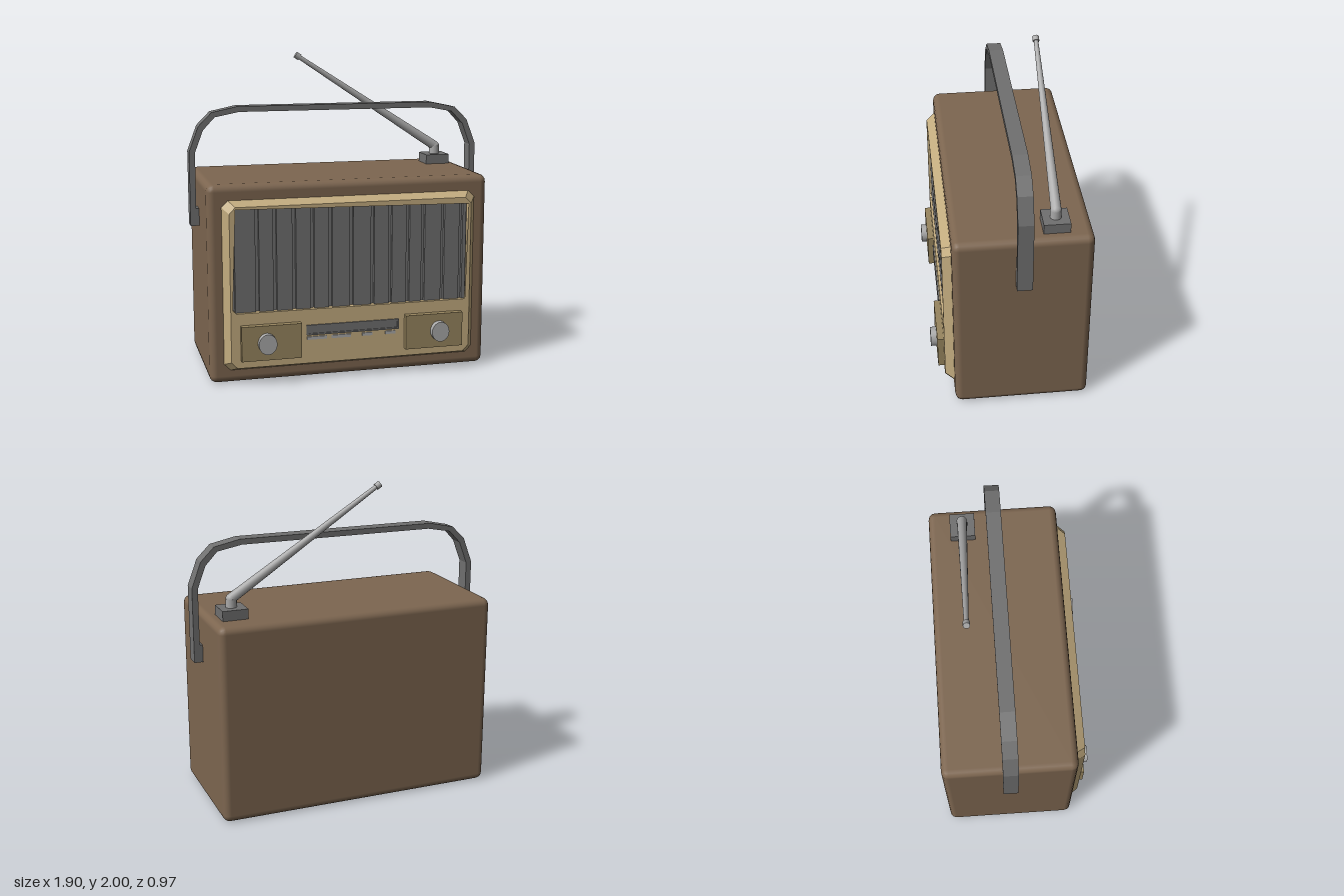
import * as THREE from 'three';
import { RoundedBoxGeometry } from 'three/addons/geometries/RoundedBoxGeometry.js';

export function createModel() {
  const radio = new THREE.Group();
  radio.name = 'portableRadio';
  const material = (name, color) => {
    const m = new THREE.MeshStandardMaterial({ color });
    m.name = name;
    return m;
  };
  const brown = material('brown case', 0x7d6650);
  const cream = material('cream panel', 0xc4ad80);
  const tan = material('tan plate', 0x98865f);
  const grey = material('dark grey', 0x707070);
  const silver = material('silver', 0xaaaaaa);

  const add = (name, geometry, mat, x = 0, y = 0, z = 0) => {
    const mesh = new THREE.Mesh(geometry, mat);
    mesh.name = name;
    mesh.position.set(x, y, z);
    radio.add(mesh);
    return mesh;
  };
  // Box given by its limits on each axis
  const box = (name, mat, x0, x1, y0, y1, z0, z1) =>
    add(name, new THREE.BoxGeometry(x1 - x0, y1 - y0, z1 - z0), mat,
      (x0 + x1) / 2, (y0 + y1) / 2, (z0 + z1) / 2);
  // Rectangle with cut corners
  const cutRect = (Kind, x, y0, y1, c) => new Kind([
    [-x + c, y0], [x - c, y0], [x, y0 + c], [x, y1 - c],
    [x - c, y1], [-x + c, y1], [-x, y1 - c], [-x, y0 + c],
  ].map(([px, py]) => new THREE.Vector2(px, py)));

  // Case with softened edges
  add('case', new RoundedBoxGeometry(1.79, 1.245, 0.84, 2, 0.045), brown, 0, 0.6225, -0.06);

  // Front panel: outer rim slopes inward, opening for the grille
  const outline = cutRect(THREE.Shape, 0.815, 0.08, 1.155, 0.04);
  outline.holes.push(cutRect(THREE.Path, 0.755, 0.455, 1.1, 0.02));
  const panel = new THREE.ExtrudeGeometry(outline, { depth: 0.065, bevelEnabled: false });
  const p = panel.attributes.position;
  for (let i = 0; i < p.count; i++) {
    const x = p.getX(i), y = p.getY(i);
    const outer = Math.abs(x) > 0.76 || y < 0.4 || y > 1.105;
    if (outer && p.getZ(i) > 0.03) {
      p.setXY(i, x * 0.945, y < 0.6 ? y + 0.028 : y - 0.04);
    }
  }
  panel.computeVertexNormals();
  add('frontPanel', panel, cream, 0, 0, 0.35);

  // Grille: slats of uneven width in front of a backing sheet
  box('grilleBacking', grey, -0.755, 0.755, 0.455, 1.1, 0.355, 0.375);
  const grooves = [-0.75, -0.6, -0.49, -0.37, -0.255, -0.14, -0.005,
    0.13, 0.245, 0.36, 0.46, 0.59, 0.71, 0.755];
  for (let i = 0; i < grooves.length - 1; i++) {
    box('grilleSlat', grey, grooves[i] + 0.011, grooves[i + 1] - 0.011, 0.457, 1.098, 0.37, 0.4);
  }

  // Control plates and knobs on both sides
  for (const side of [-1, 1]) {
    add('controlPlate', new THREE.BoxGeometry(0.376, 0.22, 0.055), tan, side * 0.524, 0.27, 0.4275);
    const knob = add('knob', new THREE.CylinderGeometry(0.057, 0.057, 0.045, 24), silver, side * 0.555, 0.27, 0.47);
    knob.rotation.x = Math.PI / 2;
    knob.scale.z = 1.12;
  }

  // Tuning dial with raised rim
  const rim = cutRect(THREE.Shape, 0.3, 0.29, 0.355, 0.003);
  rim.holes.push(cutRect(THREE.Path, 0.288, 0.3, 0.345, 0.003));
  add('dialRim', new THREE.ExtrudeGeometry(rim, { depth: 0.016, bevelEnabled: false }), grey, 0, 0, 0.408);
  box('dialFace', grey, -0.29, 0.29, 0.3, 0.345, 0.41, 0.417);

  // Push buttons under the dial
  for (const [x0, x1] of [[-0.295, -0.17], [-0.14, -0.015], [0.06, 0.125], [0.21, 0.275]]) {
    box('pushButton', silver, x0, x1, 0.261, 0.28, 0.41, 0.423);
  }

  // Carrying handle: outer and inner arcs, feet reaching the case
  const outer = [[0.95, 0.93], [0.95, 1.4], [0.89, 1.56], [0.805, 1.645], [0.64, 1.68]];
  const inner = [[0.63, 1.645], [0.785, 1.615], [0.86, 1.535], [0.913, 1.395], [0.913, 1.04], [0.885, 1.04], [0.885, 0.93]];
  const mirror = (pts) => pts.map(([x, y]) => [-x, y]).reverse();
  const loop = [...outer, ...mirror(outer), ...mirror(inner), ...inner];
  const strap = new THREE.Shape(loop.map(([x, y]) => new THREE.Vector2(x, y)));
  add('handle', new THREE.ExtrudeGeometry(strap, { depth: 0.094, bevelEnabled: false }), grey, 0, 0, -0.107);

  // Aerial: foot, short stem, elbow, tapered rod and tip
  box('aerialFoot', grey, 0.67, 0.83, 1.24, 1.307, -0.34, -0.18);
  const z = -0.26;
  add('aerialStem', new THREE.CylinderGeometry(0.034, 0.034, 0.06, 14), silver, 0.752, 1.33, z);
  add('aerialElbow', new THREE.SphereGeometry(0.034, 14, 10), silver, 0.752, 1.357, z);
  const from = new THREE.Vector3(0.752, 1.36, z);
  const to = new THREE.Vector3(-0.2, 1.978, z);
  const direction = to.clone().sub(from).normalize();
  const rodAlong = (name, a, b, r0, r1) => {
    const mid = a.clone().add(b).multiplyScalar(0.5);
    const rod = add(name, new THREE.CylinderGeometry(r1, r0, a.distanceTo(b), 14), silver, mid.x, mid.y, mid.z);
    rod.quaternion.setFromUnitVectors(new THREE.Vector3(0, 1, 0), direction);
  };
  rodAlong('aerialRod', from, to, 0.032, 0.014);
  rodAlong('aerialTip', to.clone().addScaledVector(direction, -0.018),
    to.clone().addScaledVector(direction, 0.015), 0.021, 0.021);

  return radio;
}
